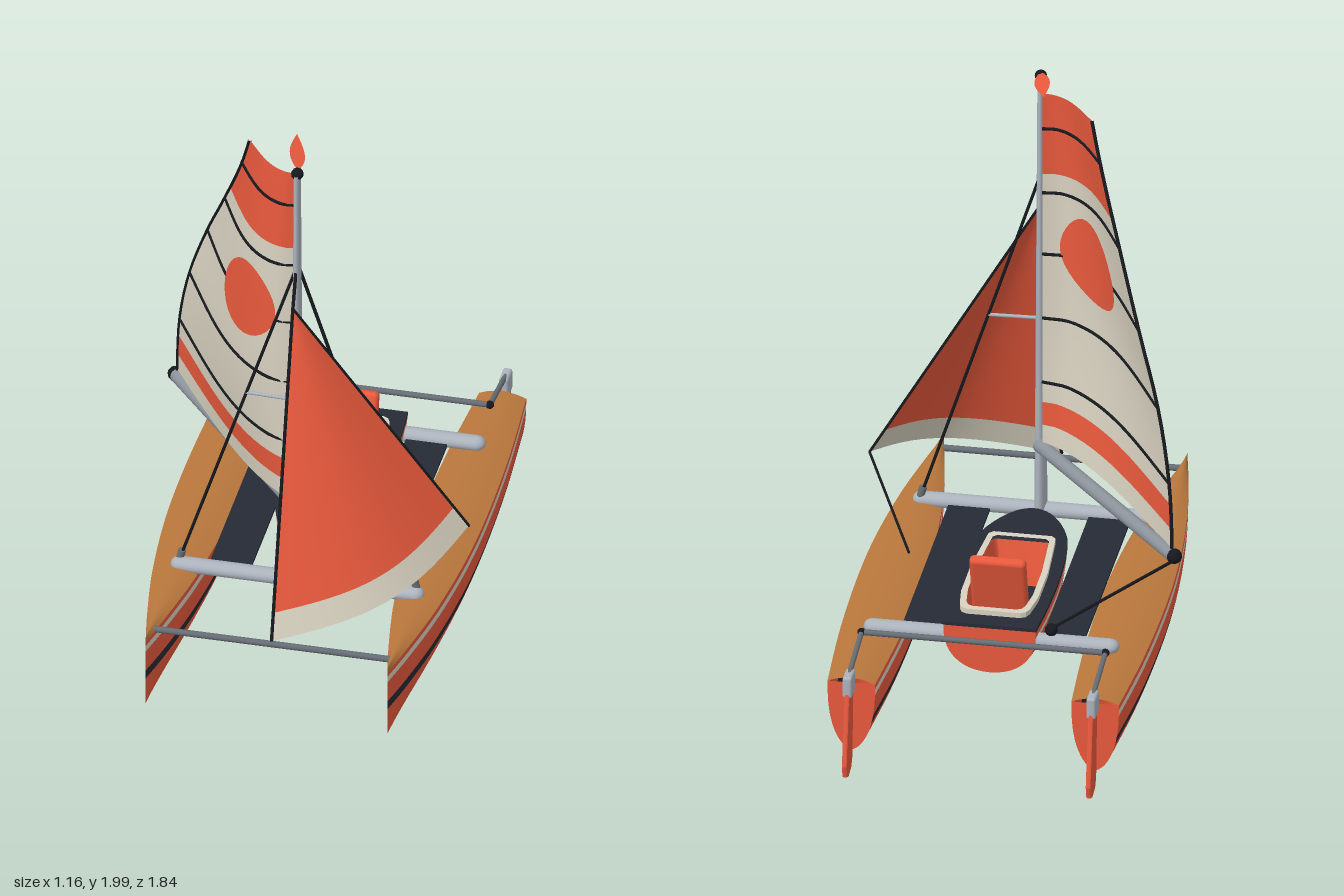
import * as THREE from 'three';
import { RoundedBoxGeometry } from 'three/addons/geometries/RoundedBoxGeometry.js';

const RED = 0xe8593c, CREAM = 0xd8d2c0, DARK = 0x252a35, WOOD = 0xb9773c;
const ALLOY = 0xacb3bd, STEEL = 0x666c74, ROPE = 0x15181d;
const C = 0.02; // centreline of the boat
const V = (x, y, z) => new THREE.Vector3(x, y, z);

function add(parent, name, geo, color, side = THREE.FrontSide) {
  const m = new THREE.Mesh(geo, new THREE.MeshStandardMaterial({ color, side }));
  m.name = name;
  parent.add(m);
  return m;
}

// Grid surface from a rule f(u, v) -> Vector3
function patch(parent, name, f, nu, nv, color) {
  const pos = [], idx = [];
  for (let i = 0; i <= nu; i++)
    for (let j = 0; j <= nv; j++) {
      pos.push(...f(i / nu, j / nv).toArray());
      if (i < nu && j < nv) {
        const a = i * (nv + 1) + j, b = a + nv + 1;
        idx.push(a, b, a + 1, b, b + 1, a + 1);
      }
    }
  const g = new THREE.BufferGeometry();
  g.setAttribute('position', new THREE.Float32BufferAttribute(pos, 3));
  g.setIndex(idx);
  g.computeVertexNormals();
  return add(parent, name, g, color, THREE.DoubleSide);
}

// Straight round bar between two points
function rod(parent, name, a, b, r, color, sides = 12) {
  const d = b.clone().sub(a);
  const m = add(parent, name, new THREE.CylinderGeometry(r, r, d.length(), sides), color);
  m.position.copy(a).lerp(b, 0.5);
  m.quaternion.setFromUnitVectors(V(0, 1, 0), d.normalize());
  return m;
}

function ball(parent, name, p, r, color) {
  add(parent, name, new THREE.SphereGeometry(r, 12, 8), color).position.copy(p);
}

function tube(parent, name, pts, r, color) {
  add(parent, name, new THREE.TubeGeometry(new THREE.CatmullRomCurve3(pts), 24, r, 6), color);
}

// Striped hull from stations [z, half width, keel y, sheer y]; returns its sampler
function hull(parent, stations, bands, power) {
  const curves = [1, 2, 3].map(k => new THREE.SplineCurve(stations.map(s => new THREE.Vector2(s[0], s[k]))));
  const at = u => {
    const p = curves.map(c => c.getPoint(u));
    return { z: p[0].x, half: Math.max(0, p[0].y), keel: p[1].y, sheer: p[2].y };
  };
  const point = (u, h, k) => {
    const s = at(u), w = Math.pow(1 - Math.pow(1 - h, 2.6), power);
    return V(s.half * w * k, s.keel + (s.sheer - s.keel) * h, s.z);
  };
  for (const side of [-1, 1])
    for (const [name, h0, h1, color] of bands)
      patch(parent, name, (u, v) => point(u, h0 + (h1 - h0) * (h0 ? v : v * v), side), 32, h0 ? 3 : 10, color);
  patch(parent, 'transom', (u, v) => point(1, v * v, 2 * u - 1), 4, 10, RED);
  return at;
}

// Flat shape in plan (x, z), extruded downwards from height y
function slab(parent, name, pts, hole, y, depth, color) {
  const shape = new THREE.Shape(pts);
  if (hole) shape.holes.push(new THREE.Path(hole));
  const g = new THREE.ExtrudeGeometry(shape, { depth, bevelEnabled: false });
  g.rotateX(Math.PI / 2);
  return add(parent, name, g, color).position.set(0, y, 0);
}

function buildSideHull(root, side) {
  const g = new THREE.Group();
  g.name = side > 0 ? 'leftHull' : 'rightHull';
  g.position.x = C + side * 0.41;
  root.add(g);
  const at = hull(g, [
    [0.92, 0, 0.09, 0.335], [0.75, 0.034, 0.072, 0.332], [0.5, 0.074, 0.055, 0.327], [0.2, 0.102, 0.044, 0.322],
    [-0.1, 0.11, 0.04, 0.317], [-0.45, 0.102, 0.042, 0.313], [-0.79, 0.08, 0.06, 0.31],
  ], [['hullBottom', 0, 0.4, RED], ['darkStripe', 0.4, 0.53, DARK], ['hullSide', 0.53, 0.84, RED],
    ['paleStripe', 0.84, 0.93, CREAM], ['gunwale', 0.93, 1, RED]], 0.6);
  patch(g, 'deck', (u, v) => {
    const s = at(u), k = 2 * v - 1;
    return V(s.half * k, s.sheer + 0.018 * (1 - k * k), s.z);
  }, 32, 6, WOOD);
  // Rudder, its head and tiller
  const blade = new THREE.Shape([[0.8, 0.32], [0.865, 0.32], [0.915, 0.06], [0.905, 0.02], [0.885, 0.012],
    [0.84, 0.02], [0.82, 0.05]].map(p => new THREE.Vector2(...p)));
  const bg = new THREE.ExtrudeGeometry(blade, { depth: 0.008, bevelSize: 0.005, bevelThickness: 0.005, bevelSegments: 2 });
  bg.translate(0, 0, -0.004).rotateY(Math.PI / 2);
  add(g, 'rudderBlade', bg, RED);
  add(g, 'rudderHead', new RoundedBoxGeometry(0.032, 0.08, 0.075, 2, 0.01), ALLOY).position.set(0, 0.33, -0.835);
  rod(g, 'tiller', V(0, 0.36, -0.84), V(0, 0.4, -0.6), 0.009, STEEL);
  ball(g, 'tillerJoint', V(0, 0.4, -0.6), 0.014, ROPE);
}

function buildPod(root) {
  const g = new THREE.Group();
  g.name = 'centrePod';
  g.position.x = C;
  root.add(g);
  const at = hull(g, [
    [0.35, 0.0, 0.37, 0.405], [0.32, 0.055, 0.31, 0.405], [0.24, 0.11, 0.25, 0.404], [0.12, 0.15, 0.2, 0.402],
    [-0.1, 0.167, 0.18, 0.4], [-0.32, 0.165, 0.19, 0.398], [-0.49, 0.155, 0.23, 0.396],
  ], [['podBottom', 0, 0.76, RED], ['podStripe', 0.76, 0.85, CREAM], ['podRim', 0.85, 1, RED]], 0.48);
  // Deck outline and cockpit outline
  const half = [];
  for (let i = 0; i <= 24; i++) { const s = at(i / 24); half.push([s.half + 0.002, s.z]); }
  const mirror = pts => [...pts, ...pts.slice().reverse().map(([x, z]) => [-x, z])];
  const rim = mirror([[0.098, 0.13], [0.113, 0.115], [0.13, -0.12], [0.13, -0.3], [0.118, -0.39], [0.108, -0.412], [0.09, -0.422]]);
  const scaled = k => rim.map(([x, z]) => new THREE.Vector2(x * k, (z + 0.146) * (1 + (k - 1) * 0.55) - 0.146));
  slab(g, 'podDeck', mirror(half.slice(1)).map(p => new THREE.Vector2(...p)), scaled(0.9), 0.406, 0.012, DARK);
  slab(g, 'coaming', scaled(1), scaled(0.84), 0.424, 0.03, CREAM);
  const top = scaled(0.84), low = scaled(0.6), n = rim.length;
  patch(g, 'cockpitLiner', (u, v) => {
    const i = Math.round(u * n) % n, p = top[i].clone().lerp(low[i], v);
    return V(p.x, 0.41 - 0.15 * v, p.y);
  }, n, 2, RED);
  slab(g, 'cockpitFloor', low, null, 0.262, 0.01, DARK);
  add(g, 'seat', new RoundedBoxGeometry(0.19, 0.05, 0.17, 2, 0.012), DARK).position.set(0, 0.34, -0.195);
  const back = add(g, 'seatBack', new RoundedBoxGeometry(0.19, 0.25, 0.038, 3, 0.015), RED);
  back.position.set(0, 0.455, -0.305);
  back.rotation.x = -0.28;
}

function buildFrame(root) {
  const g = new THREE.Group();
  g.name = 'frame';
  root.add(g);
  for (const z of [0.46, -0.45]) {
    const beam = add(g, z > 0 ? 'frontBeam' : 'rearBeam', new THREE.CapsuleGeometry(0.03, 0.8, 5, 16), ALLOY);
    beam.rotation.z = Math.PI / 2;
    beam.scale.x = 0.85;
    beam.position.set(C, 0.345, z);
  }
  rod(g, 'bowBar', V(C - 0.41, 0.335, 0.84), V(C + 0.41, 0.335, 0.84), 0.011, STEEL);
  rod(g, 'tillerBar', V(C - 0.41, 0.4, -0.6), V(C + 0.41, 0.4, -0.6), 0.01, STEEL);
  for (const s of [-1, 1])
    add(g, 'trampoline', new THREE.BoxGeometry(0.14, 0.01, 0.87), DARK).position.set(C + s * 0.236, 0.34, 0.005);
}

function buildMainsail(root) {
  const g = new THREE.Group();
  g.name = 'mainsail';
  root.add(g);
  const leechX = new THREE.SplineCurve([[0.62, -0.55], [0.85, -0.535], [1.09, -0.485], [1.33, -0.405], [1.56, -0.315], [1.8, -0.23], [1.93, -0.19]].map(p => new THREE.Vector2(...p)));
  const leechZ = new THREE.SplineCurve([[0.62, -0.25], [0.85, -0.22], [1.09, -0.15], [1.33, -0.065], [1.56, 0.07], [1.8, 0.195], [1.93, 0.25]].map(p => new THREE.Vector2(...p)));
  const heights = [0.62, 0.85, 1.09, 1.33, 1.56, 1.8, 1.93];
  // Point on the bellied sail: t from luff to leech, y height, off sideways
  const sail = (t, y, off = 0) => {
    let i = 0;
    while (i < 5 && y > heights[i + 1]) i++;
    const s = (i + (y - heights[i]) / (heights[i + 1] - heights[i])) / 6;
    const v = (y - 0.62) / 1.31;
    const b = (0.05 + 0.06 * Math.sin(Math.PI * v)) * (1 - 0.3 * v) * Math.sin(Math.PI * Math.pow(t, 0.6)) + off;
    return V(0.005 + (leechX.getPoint(s).y - 0.005) * t - 0.76 * b, y, 0.405 + (leechZ.getPoint(s).y - 0.405) * t + 0.65 * b);
  };
  for (const [name, y0, y1, color] of [['footPanel', 0.62, 0.69, CREAM], ['lowerBand', 0.69, 0.775, RED],
    ['mainPanel', 0.775, 1.63, CREAM], ['topPanel', 1.63, 1.93, RED]])
    patch(g, name, (u, v) => sail(u, y0 + (y1 - y0) * v), 24, Math.ceil((y1 - y0) * 24), color);
  const line = f => Array.from({ length: 13 }, (_, i) => f(i / 12));
  for (const y of [0.85, 1.09, 1.33, 1.56, 1.8]) tube(g, 'batten', line(t => sail(t, y)), 0.006, ROPE);
  tube(g, 'leechEdge', line(t => sail(1, 0.62 + 1.31 * t)), 0.006, ROPE);
  // Plain round patch on both faces
  for (const off of [-0.008, 0.008])
    patch(g, 'roundPatch', (u, v) => sail(0.315 + 0.25 * v * Math.cos(u * 2 * Math.PI), 1.358 + 0.147 * v * Math.sin(u * 2 * Math.PI), off), 32, 6, RED);
}

function buildJib(root) {
  const g = new THREE.Group();
  g.name = 'jib';
  root.add(g);
  const tack = V(C, 0.35, 0.845), head = V(C, 1.47, 0.53), clew = V(0.575, 0.565, 0.345);
  const jib = (t, v) => tack.clone().lerp(head, v).lerp(clew.clone().lerp(head, v), t)
    .addScaledVector(V(0.67, 0, 0.74), 0.12 * Math.sin(Math.PI * t) * (1 - v));
  patch(g, 'jibFoot', (u, v) => jib(u, v * 0.085), 20, 2, CREAM);
  patch(g, 'jibPanel', (u, v) => jib(u, 0.085 + 0.915 * v), 20, 20, RED);
  rod(g, 'luffWire', tack, head, 0.006, ROPE, 6);
  rod(g, 'leechWire', clew, head, 0.005, ROPE, 6);
  rod(g, 'headWire', head, V(C, 1.6, 0.48), 0.006, ROPE, 6);
  rod(g, 'jibSheet', clew, V(0.395, 0.34, 0.085), 0.005, ROPE, 6);
}

function buildRig(root) {
  const g = new THREE.Group();
  g.name = 'rig';
  root.add(g);
  const mast = add(g, 'mast', new THREE.CylinderGeometry(0.023, 0.043, 1.63, 20), ALLOY);
  mast.scale.x = 0.48;
  mast.position.set(C, 1.15, 0.463);
  ball(g, 'mastCap', V(C, 1.967, 0.463), 0.021, ROPE);
  const end = V(-0.56, 0.6, -0.26);
  rod(g, 'boom', V(C, 0.6, 0.43), end, 0.024, 0x8c929b, 16);
  ball(g, 'boomEnd', end, 0.026, ROPE);
  for (const s of [-1, 1]) {
    const foot = V(C + s * 0.405, 0.35, 0.45);
    rod(g, 'shroud', V(C, 1.6, 0.455), foot, 0.006, ROPE, 6);
    rod(g, 'shroudAnchor', foot, foot.clone().add(V(-s * 0.012, 0.045, 0)), 0.013, STEEL);
    rod(g, 'spreader', V(C, 1.06, 0.46), V(C + s * 0.176, 1.06, 0.453), 0.006, ALLOY);
    rod(g, 'mainsheet', end.clone().add(V(0.01 * s, -0.015, -0.014 * s)), V(-0.18 + 0.006 * s, 0.39, -0.445 - 0.008 * s), 0.005, ROPE, 6);
  }
  ball(g, 'sheetBlock', V(-0.18, 0.385, -0.445), 0.022, ROPE);
  // Leaf-shaped pennant
  patch(g, 'pennant', (u, v) => {
    const w = 0.026 * Math.sin(Math.PI * Math.pow(u, 0.8)) * (2 * v - 1);
    return V(C - 0.045 * u + w, 1.982 + 0.01 * u - w * 0.3, 0.46 - 0.19 * u);
  }, 12, 2, RED);
}

export function createModel() {
  const root = new THREE.Group();
  root.name = 'catamaran';
  for (const side of [-1, 1]) buildSideHull(root, side);
  buildPod(root);
  buildFrame(root);
  buildMainsail(root);
  buildJib(root);
  buildRig(root);
  return root;
}
